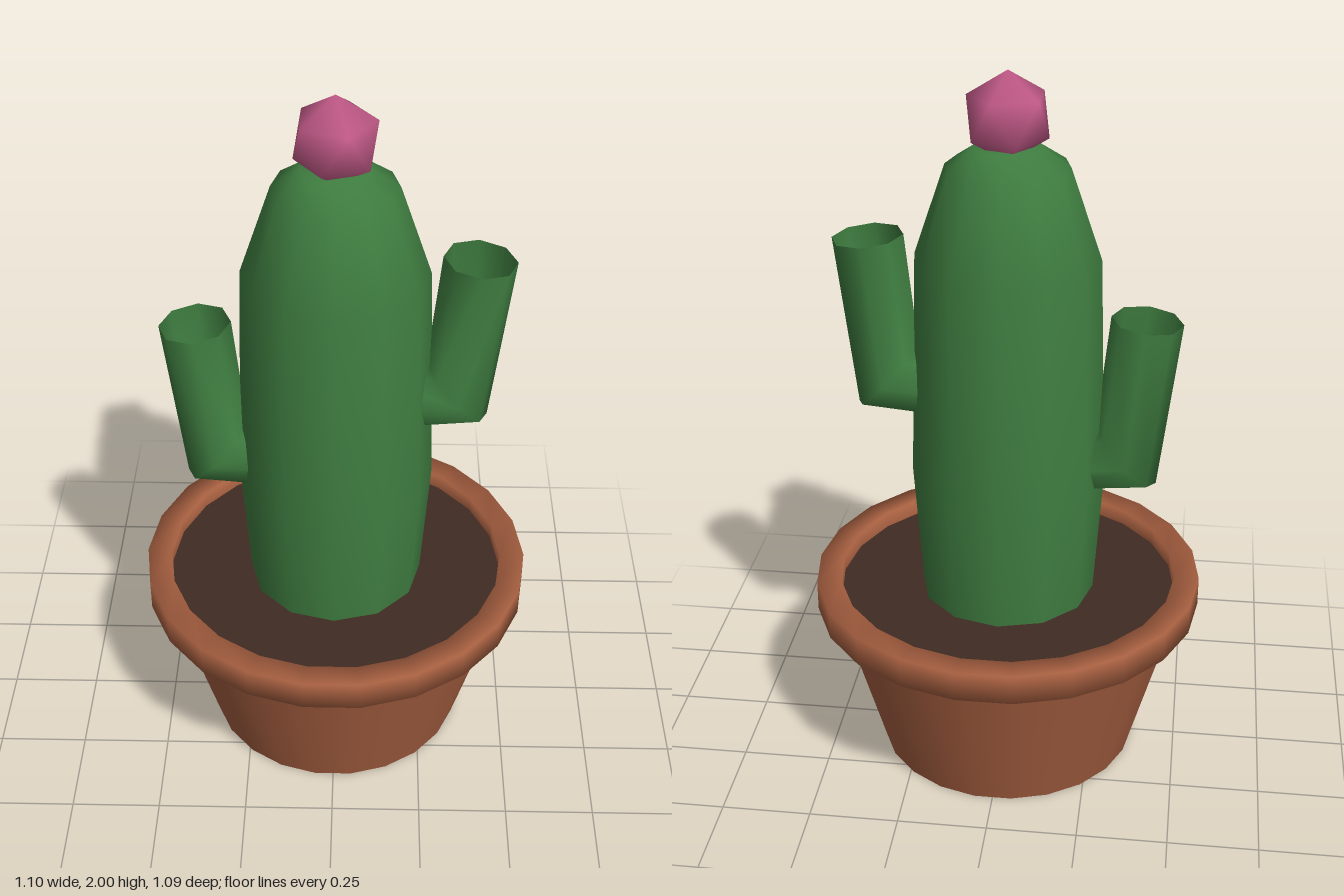
import * as THREE from 'three';

const paint = (color, side = THREE.FrontSide) => new THREE.MeshStandardMaterial({ color, side });
const clay = paint(0xa65f40, THREE.DoubleSide);
const soilBrown = paint(0x402c23);
const green = paint(0x3f7d40, THREE.DoubleSide);
const pink = paint(0xc25a88);

function part(name, geometry, material) {
  const mesh = new THREE.Mesh(geometry, material);
  mesh.name = name;
  return mesh;
}

// Turned shape with a corner on the x axis
function turned(profile, sides) {
  const points = profile.map(([r, y]) => new THREE.Vector2(r, y));
  return new THREE.LatheGeometry(points, sides, Math.PI / 2);
}

function disc(radius, y, facing) {
  return new THREE.CircleGeometry(radius, 22).rotateX(-facing * Math.PI / 2).translate(0, y, 0);
}

// Open bent tube; each section is [outer x, outer y, inner x, inner y, half depth]
function bentTube(sections, sides, side, lift) {
  const positions = [], index = [];
  sections.forEach(([ox, oy, ix, iy, depth], row) => {
    for (let k = 0; k < sides; k++) {
      const a = (k / sides) * Math.PI * 2, c = Math.cos(a) / 2;
      const x = (ox + ix) / 2 + (ox - ix) * c;
      const y = (oy + iy) / 2 + (oy - iy) * c;
      positions.push(side * x, y + lift, depth * Math.sin(a));
      if (row === 0) continue;
      const n = (k + 1) % sides, lo = (row - 1) * sides, hi = row * sides;
      const quad = [lo + k, hi + k, lo + n, lo + n, hi + k, hi + n];
      index.push(...(side > 0 ? quad : quad.reverse()));
    }
  });
  const geometry = new THREE.BufferGeometry();
  geometry.setAttribute('position', new THREE.Float32BufferAttribute(positions, 3));
  geometry.setIndex(index);
  geometry.computeVertexNormals();
  return geometry;
}

export function createModel() {
  const model = new THREE.Group();
  model.name = 'pottedCactus';

  // Pot with a closed base, a raised rim and soil just below it
  model.add(
    part('potWall', turned([[0.37, 0], [0.5, 0.47]], 22), clay),
    part('potBase', disc(0.37, 0, -1), clay),
    part('potRim', turned([[0.49, 0.455], [0.55, 0.46], [0.55, 0.545], [0.48, 0.545], [0.48, 0.49]], 22), clay),
    part('soil', disc(0.482, 0.5, 1), soilBrown)
  );

  // Trunk
  const trunk = [[0.245, 0.48], [0.27, 0.85], [0.25, 1.5], [0.165, 1.75], [0.09, 1.8], [0, 1.805]];
  model.add(part('trunk', turned(trunk, 12), green));

  // Hollow, mitred arms: the same shape mirrored, the right one lower
  const arm = [
    [0.15, 1.03, 0.15, 1.235, 0.11],
    [0.415, 1.055, 0.245, 1.235, 0.11],
    [0.472, 1.535, 0.278, 1.552, 0.1]
  ];
  model.add(
    part('leftArm', bentTube(arm, 8, 1, 0), green),
    part('rightArm', bentTube(arm, 8, -1, -0.207), green)
  );

  // Flower bud: icosahedron standing on a corner, shaded smooth
  const bud = new THREE.IcosahedronGeometry(0.12, 0);
  bud.rotateZ(-Math.atan(2 / (1 + Math.sqrt(5))));
  const p = bud.attributes.position, v = new THREE.Vector3();
  for (let i = 0; i < p.count; i++) {
    v.fromBufferAttribute(p, i).normalize();
    bud.attributes.normal.setXYZ(i, v.x, v.y, v.z);
  }
  bud.translate(0, 1.88, 0);
  model.add(part('flower', bud, pink));

  return model;
}
